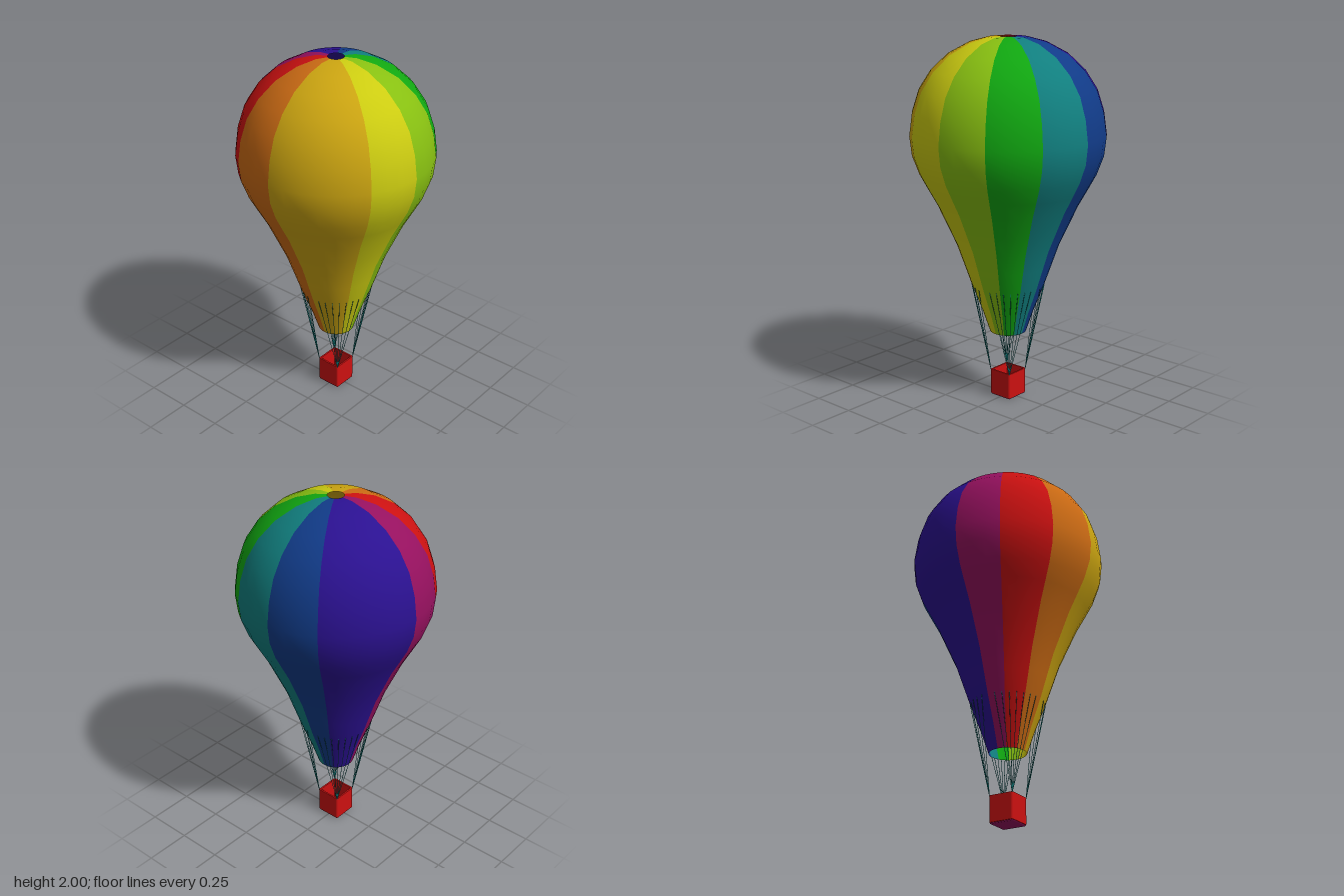
import * as THREE from 'three';
import { RoundedBoxGeometry } from 'three/addons/geometries/RoundedBoxGeometry.js';

const mat = (name, color) => {
  const m = new THREE.MeshStandardMaterial({ color, side: THREE.DoubleSide });
  m.name = name;
  return m;
};

// Envelope outline from mouth to crown vent: radius, height
const PROFILE = [
  [0.1, 0.38], [0.142, 0.505], [0.2, 0.655], [0.24, 0.77], [0.28, 0.885], [0.33, 0.995],
  [0.38, 1.105], [0.43, 1.195], [0.476, 1.28], [0.513, 1.38], [0.525, 1.485], [0.508, 1.61],
  [0.471, 1.725], [0.407, 1.825], [0.317, 1.91], [0.206, 1.97], [0.106, 1.997], [0.043, 2.0],
].map(([r, y]) => new THREE.Vector2(r, y));

// Square outline with rounded corners
function roundedSquare(Type, h, r) {
  const s = new Type();
  s.absarc(h - r, h - r, r, 0, Math.PI / 2);
  s.absarc(r - h, h - r, r, Math.PI / 2, Math.PI);
  s.absarc(r - h, r - h, r, Math.PI, Math.PI * 1.5);
  s.absarc(h - r, r - h, r, Math.PI * 1.5, Math.PI * 2);
  s.closePath();
  return s;
}

// Thin cylinder between two points
function rod(a, b, radius, material) {
  const dir = b.clone().sub(a);
  const mesh = new THREE.Mesh(new THREE.CylinderGeometry(radius, radius, dir.length(), 5), material);
  mesh.position.copy(a).add(b).multiplyScalar(0.5);
  mesh.quaternion.setFromUnitVectors(new THREE.Vector3(0, 1, 0), dir.normalize());
  return mesh;
}

export function createModel() {
  const model = new THREE.Group();
  model.name = 'hotAirBalloon';

  const m = {
    lime: mat('lime', 0x88c011),
    green: mat('green', 0x11a811),
    teal: mat('teal', 0x117f7f),
    blue: mat('blue', 0x113b88),
    indigo: mat('indigo', 0x2b1191),
    magenta: mat('magenta', 0x96115f),
    red: mat('red', 0xcc1111),
    orange: mat('orange', 0xcc6b14),
    gold: mat('gold', 0xcca511),
    yellow: mat('yellow', 0xcccc11),
  };

  // Coloured gores of the envelope: colour and start angle in degrees
  const envelope = new THREE.Group();
  envelope.name = 'envelope';
  const gores = [
    ['lime', -0.5], ['green', 28.5], ['teal', 60], ['blue', 91], ['indigo', 121],
    ['magenta', 180], ['red', 207], ['orange', 238.5], ['gold', 270.3], ['yellow', 329],
  ];
  gores.forEach(([color, start], i) => {
    const end = i < gores.length - 1 ? gores[i + 1][1] : 359.5;
    const geo = new THREE.LatheGeometry(PROFILE, Math.round((end - start) / 10),
      THREE.MathUtils.degToRad(start + 90), THREE.MathUtils.degToRad(end - start));
    const gore = new THREE.Mesh(geo, m[color]);
    gore.name = color + 'Gore';
    envelope.add(gore);
  });
  model.add(envelope);

  // Open basket: rounded square wall and a floor plate
  const basket = new THREE.Group();
  basket.name = 'basket';
  const wallShape = roundedSquare(THREE.Shape, 0.068, 0.008);
  wallShape.holes.push(roundedSquare(THREE.Path, 0.063, 0.006));
  const wallGeo = new THREE.ExtrudeGeometry(wallShape, {
    depth: 0.138, bevelThickness: 0.003, bevelSize: 0.003, bevelSegments: 2, curveSegments: 4,
  });
  wallGeo.rotateX(-Math.PI / 2);
  const wall = new THREE.Mesh(wallGeo, m.red);
  wall.name = 'basketWall';
  wall.position.y = 0.009;
  const floor = new THREE.Mesh(new RoundedBoxGeometry(0.136, 0.014, 0.136, 2, 0.006), m.magenta);
  floor.name = 'basketFloor';
  floor.position.y = 0.007;
  basket.add(wall, floor);
  model.add(basket);

  // Ropes fan out from each basket corner to the envelope
  const ropes = new THREE.Group();
  ropes.name = 'ropes';
  for (let corner = 0; corner < 4; corner++) {
    const base = corner * Math.PI / 2;
    const mid = base + Math.PI / 4;
    const foot = new THREE.Vector3(Math.cos(mid) * 0.096, 0.145, Math.sin(mid) * 0.096);
    for (let k = 1; k <= 7; k++) {
      const a = base + k * Math.PI / 16;
      const top = new THREE.Vector3(Math.cos(a) * 0.2, 0.652, Math.sin(a) * 0.2);
      const rope = rod(foot, top, 0.0015, m.teal);
      rope.name = 'rope';
      ropes.add(rope);
    }
  }
  model.add(ropes);

  return model;
}
